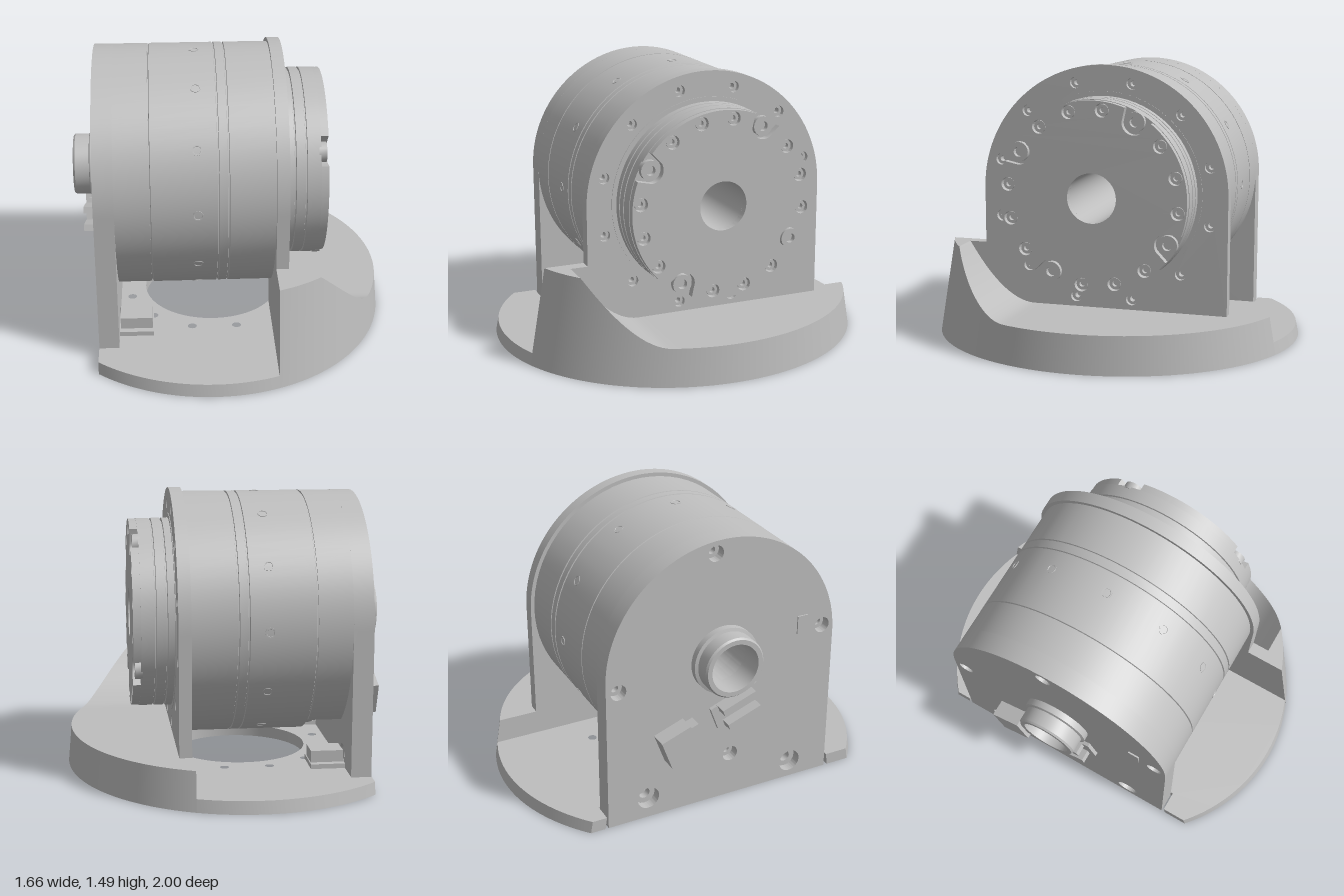
import * as THREE from 'three';
import { toCreasedNormals } from 'three/addons/utils/BufferGeometryUtils.js';

const AY = 0.825, AZ = -0.027; // main shaft axis, running along x
const R = 0.645, BORE = 0.13;

export function createModel() {
  const model = new THREE.Group();
  const metal = new THREE.MeshStandardMaterial({ color: 0xbebebe });
  metal.name = 'grey metal';

  const add = (name, geo, x = 0, y = 0, z = 0) => {
    const mesh = new THREE.Mesh(toCreasedNormals(geo, 0.5), metal);
    mesh.name = name;
    mesh.position.set(x, y, z);
    model.add(mesh);
    return mesh;
  };
  const box = (name, w, h, d, x, y, z) => add(name, new THREE.BoxGeometry(w, h, d), x, y, z);

  // closed profile of [radius, x] turned around the shaft axis
  const turn = (name, pts, y = AY, z = AZ, seg = 72) => {
    const geo = new THREE.LatheGeometry(pts.map(p => new THREE.Vector2(...p)), seg);
    return add(name, geo.rotateZ(-Math.PI / 2), 0, y, z);
  };
  // shape drawn in (-z, y) and pushed along +x, centred on the shaft axis
  const extrudeX = (name, shape, x0, x1) => {
    const geo = new THREE.ExtrudeGeometry(shape, { depth: x1 - x0, bevelEnabled: false, curveSegments: 48 });
    return add(name, geo.rotateY(Math.PI / 2), x0, AY, AZ);
  };
  const hole = (shape, u, v, r) => {
    const p = new THREE.Path();
    p.absarc(u, v, r, 0, Math.PI * 2, true);
    shape.holes.push(p);
  };
  const screw = (name, r, x0, x1, y, z) => turn(name,
    [[r * 0.5, x0], [r, x0], [r, x1], [r * 0.5, x1], [r * 0.5, x0]], y, z, 16);
  // plate with a round top and straight sides
  const archShape = (r, bottom) => {
    const s = new THREE.Shape();
    s.moveTo(-r, bottom - AY);
    s.lineTo(r, bottom - AY);
    s.lineTo(r, 0);
    s.absarc(0, 0, r, 0, Math.PI, false);
    s.closePath();
    return s;
  };

  // Base plate: cut-off ellipse with a central opening, bolt holes and a slot for the rear plate
  const cut = 0.21, back = -0.71, openX = -0.1, openR = 0.37;
  const ellipse = y => ({ a: 0.94 - 0.19 * y, b: 1 - 0.2 * y, c: -0.11 + 0.1 * y });
  const zAt = (x, y) => { const e = ellipse(y); return e.b * Math.sqrt(Math.max(0, 1 - ((x - e.c) / e.a) ** 2)); };
  const xAt = (z, y) => { const e = ellipse(y); return e.c + e.a * Math.sqrt(Math.max(0, 1 - (z / e.b) ** 2)); };
  const plate = new THREE.Shape();
  const N = 36, rim = i => back + (cut - back) * i / N;
  plate.moveTo(back, zAt(back, 0));
  for (let i = 1; i <= N; i++) plate.lineTo(rim(i), zAt(rim(i), 0));
  const openA = Math.acos((cut - openX) / openR);
  plate.absarc(openX, 0, openR, openA, Math.PI * 2 - openA, false);
  for (let i = N; i >= 0; i--) plate.lineTo(rim(i), -zAt(rim(i), 0));
  for (const p of [[back, -0.64], [-0.605, -0.64], [-0.605, 0.69], [back, 0.69]]) plate.lineTo(...p);
  plate.closePath();
  for (let i = 0; i < 12; i++) {
    const a = (i + 0.5) * Math.PI / 6, x = openX + 0.46 * Math.cos(a);
    if (x < 0.17) hole(plate, x, 0.46 * Math.sin(a), 0.024);
  }
  const plateGeo = new THREE.ExtrudeGeometry(plate, { depth: 0.065, bevelEnabled: false, curveSegments: 40 });
  const pp = plateGeo.attributes.position;
  for (let i = 0; i < pp.count; i++) if (pp.getZ(i) > 0.03) pp.setY(i, pp.getY(i) * 0.986);
  add('basePlate', plateGeo.rotateX(-Math.PI / 2));

  // Raised foot: tapered rim, a ramp on one side and a pocket underneath
  const height = z => 0.2 + 0.32 * Math.min(1, Math.max(0, (z - 0.365) / 0.365)) ** 1.9;
  const pos = [], idx = [], S = 100, L = 8;
  for (let s = 0; s <= S; s++) {
    const t = Math.sin((s / S - 0.5) * Math.PI);
    const zy = y => t * zAt(cut, y);
    const z0 = zy(0);
    let h = 0.2;
    for (let k = 0; k < 10; k++) h = height(zy(h));
    const open = Math.max(cut, openX + Math.sqrt(Math.max(0, openR ** 2 - z0 ** 2)));
    const inner = Math.max(cut, xAt(z0, 0) - 0.06);
    const pocket = Math.max(cut, Math.min(inner, 0.55 - 0.4 * z0, 0.6));
    const loop = [[xAt(z0, 0), 0], [xAt(zy(h), h), h], [open, h], [open, 0],
      [pocket, 0], [pocket, 0.16], [inner, 0.16], [inner, 0]];
    for (const [x, y] of loop) pos.push(x, y, zy(y));
    if (s < S) for (let i = 0; i < L; i++) {
      const a = s * L + i, b = s * L + (i + 1) % L;
      idx.push(a, b, a + L, b, b + L, a + L);
    }
  }
  const foot = new THREE.BufferGeometry();
  foot.setAttribute('position', new THREE.Float32BufferAttribute(pos, 3));
  foot.setIndex(idx);
  add('raisedFoot', foot);
  box('footShoulder', 0.065, 0.35, 0.16, 0.2425, 0.345, 0.67);

  // Rear plate standing in the base, with counterbored bolts
  const rear = archShape(R, 0);
  hole(rear, 0, 0, BORE);
  const rearBolts = [[0.42, -0.71, 0.06], [-0.42, -0.73, 0.06]];
  for (let i = 0; i < 4; i++) {
    const a = i * Math.PI / 2 - 0.09;
    rearBolts.push([0.58 * Math.cos(a), 0.58 * Math.sin(a), 0.042]);
  }
  for (const [u, v, r] of rearBolts) {
    hole(rear, u, v, r);
    screw('rearBolt', r, -0.66, -0.62, AY + v, AZ - u);
  }
  extrudeX('rearPlate', rear, back, -0.605);

  // Rear housing with a flattened underside
  const flat = Math.asin(-0.53 / R);
  const housing = new THREE.Shape();
  housing.absarc(0, 0, R, flat, Math.PI - flat, false);
  housing.closePath();
  hole(housing, 0, 0, BORE);
  extrudeX('rearHousing', housing, -0.605, -0.428);
  box('drainPlug', 0.04, 0.02, 0.04, -0.555, 0.287, AZ);

  // Main drum with fine grooves and the stepped output hub
  const groove = (x, r, depth) => [[r, x - 0.005], [r - depth, x - 0.003], [r - depth, x + 0.003], [r, x + 0.005]];
  turn('drumAndHub', [
    [BORE, -0.47], [0.62, -0.47], [0.62, -0.428], [R - 0.008, -0.428], [R - 0.008, -0.423], [R, -0.42],
    ...groove(-0.08, R, 0.008), ...groove(-0.028, R, 0.008),
    [R, 0.21], [0.53, 0.21], [0.53, 0.278], [0.505, 0.278],
    ...groove(0.318, 0.503, 0.014), ...groove(0.375, 0.503, 0.01),
    [0.503, 0.45], [BORE, 0.45], [BORE, -0.47]]);

  // Radial set screws around the drum
  for (let i = 0; i < 12; i++) {
    const a = i * Math.PI / 6;
    const ring = turn('drumSetScrew', [[0.015, 0], [0.027, 0], [0.027, 0.024], [0.021, 0.024], [0.015, 0.012], [0.015, 0]], 0, 0, 14);
    ring.geometry.rotateZ(Math.PI / 2);
    ring.rotation.x = a;
    ring.position.set(-0.185, AY + (R - 0.022) * Math.cos(a), AZ + (R - 0.022) * Math.sin(a));
  }

  // Front bearing plate with twelve bolts
  const front = archShape(0.665, 0.19);
  hole(front, 0, 0, 0.525);
  for (let i = 0; i < 12; i++) {
    const a = (i + 0.5) * Math.PI / 6, u = 0.59 * Math.cos(a), v = 0.59 * Math.sin(a);
    hole(front, u, v, 0.03);
    screw('frontPlateBolt', 0.03, 0.21, 0.25, AY + v, AZ - u);
  }
  extrudeX('frontPlate', front, 0.21, 0.275);

  // Hub face: scalloped edge at four large bolts, small bolts between
  const d = 0.455, bite = 0.066, start = 60.5 * Math.PI / 180, quarter = Math.PI / 2;
  const face = new THREE.Shape();
  for (let i = 0; i < 240; i++) {
    const q = i / 240 * Math.PI * 2;
    const dq = (q + quarter / 2) % quarter - quarter / 2;
    const m = bite * bite - (d * Math.sin(dq)) ** 2;
    const r = m > 0 ? Math.min(0.5, d * Math.cos(dq) - Math.sqrt(m)) : 0.5;
    face[i ? 'lineTo' : 'moveTo'](r * Math.cos(q + start), r * Math.sin(q + start));
  }
  face.closePath();
  hole(face, 0, 0, BORE);
  for (let i = 0; i < 16; i++) {
    const a = start + i * Math.PI / 8, u = d * Math.cos(a), v = d * Math.sin(a);
    if (i % 4 === 0) {
      screw('hubLargeBolt', 0.052, 0.44, 0.48, AY + v, AZ - u);
    } else {
      hole(face, u, v, 0.036);
      screw('hubBolt', 0.03, 0.44, 0.475, AY + v, AZ - u);
    }
  }
  extrudeX('hubFace', face, 0.448, 0.49);

  // Hollow rear shaft
  turn('rearShaft', [[BORE, -0.835], [0.155, -0.835], [0.163, -0.825], [0.163, -0.75], [0.18, -0.745],
    [0.18, -0.7], [BORE, -0.7], [BORE, -0.835]], AY, AZ, 48);

  // Cable connectors on the rear plate, set at a slant
  const slanted = (name, w, h, dd, x, y, z) => { box(name, w, h, dd, x, y, z).rotation.x = -0.35; };
  slanted('connectorBlock', 0.09, 0.17, 0.17, -0.755, 0.425, -0.305);
  slanted('connectorCap', 0.07, 0.11, 0.05, -0.745, 0.465, -0.205);
  slanted('socketBase', 0.02, 0.13, 0.28, -0.72, 0.54, 0.05);
  for (const s of [-1, 1]) {
    slanted('socketSide', 0.08, 0.035, 0.2, -0.75, 0.54 + s * 0.045, 0.05 - s * 0.016);
  }
  box('sensorCover', 0.012, 0.1, 0.06, -0.712, 0.91, 0.43);

  // Small stop blocks on the base
  for (const s of [-1, 1]) {
    box('stopBlockFoot', 0.18, 0.03, 0.2, -0.515, 0.075, s * 0.42);
    box('stopBlock', 0.17, 0.09, 0.13, -0.515, 0.107, s * 0.42);
  }
  return model;
}
